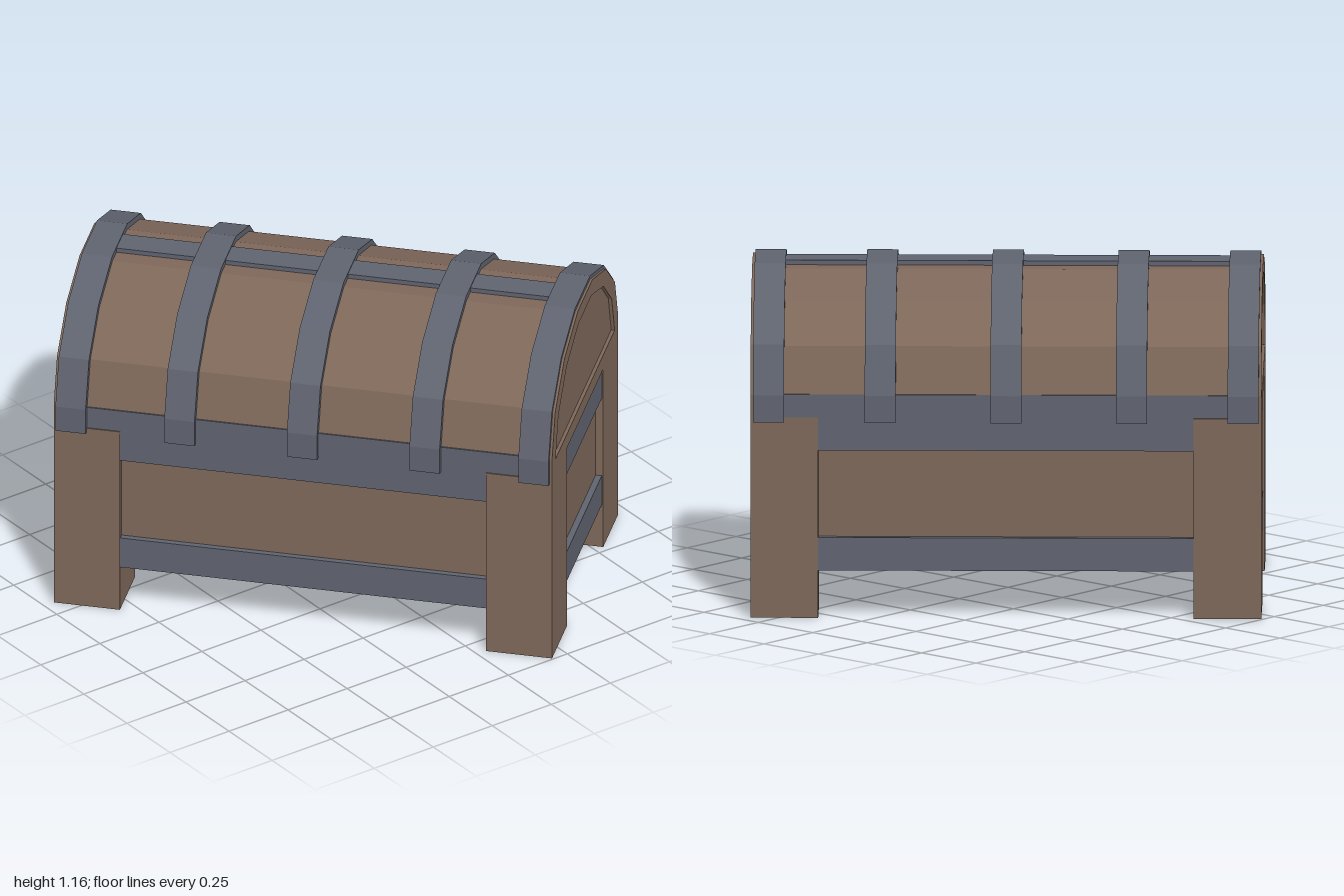
import * as THREE from 'three';

const wood = new THREE.MeshStandardMaterial({ color: 0x7d6759, flatShading: true });
const iron = new THREE.MeshStandardMaterial({ color: 0x5f636f, flatShading: true });

const SPRING = 0.78; // height where the curved lid begins

// Points of a seven-sided arch, from +z over the top to -z
function archPoints(halfWidth, rise, base = SPRING) {
  const points = [];
  for (let i = 0; i <= 7; i++) {
    const a = (Math.PI * i) / 7;
    points.push(new THREE.Vector2(halfWidth * Math.cos(a), base + rise * Math.sin(a)));
  }
  return points;
}

// Arch outline with straight sides going down to the given height
function archOutline(halfWidth, rise, bottom) {
  return [
    new THREE.Vector2(halfWidth, bottom),
    ...archPoints(halfWidth, rise),
    new THREE.Vector2(-halfWidth, bottom),
  ];
}

// Extrude a (z, y) shape along x, centred on the given x
function extrudeAlongX(shape, width, x) {
  const geometry = new THREE.ExtrudeGeometry(shape, { depth: width, bevelEnabled: false });
  geometry.translate(0, 0, -width / 2);
  geometry.rotateY(-Math.PI / 2);
  geometry.translate(x, 0, 0);
  return geometry;
}

export function createModel() {
  const model = new THREE.Group();
  model.name = 'chest';

  const add = (name, geometry, material) => {
    const mesh = new THREE.Mesh(geometry, material);
    mesh.name = name;
    model.add(mesh);
  };
  // Box centred on x and z, between two heights
  const addBox = (name, material, w, d, y0, y1, x = 0, z = 0) => {
    const geometry = new THREE.BoxGeometry(w, y1 - y0, d);
    geometry.translate(x, (y0 + y1) / 2, z);
    add(name, geometry, material);
  };

  // Body: recessed wooden panels between two iron rails
  addBox('bodyPanels', wood, 1.695, 0.97, 0.25, 0.62);
  addBox('lowerRail', iron, 1.738, 1.012, 0.165, 0.28);
  addBox('upperRail', iron, 1.738, 1.012, 0.585, 0.7);
  addBox('lidRim', iron, 1.72, 1.014, 0.69, SPRING);

  // Corner legs
  const leg = 0.232;
  for (const sx of [-1, 1]) {
    for (const sz of [-1, 1]) {
      addBox('leg', wood, leg, leg, 0, 0.7, sx * (0.874 - leg / 2), sz * (0.511 - leg / 2));
    }
  }

  // Curved wooden lid
  add('lid', extrudeAlongX(new THREE.Shape(archOutline(0.502, 0.366, 0.72)), 1.69, 0), wood);

  // End frames with a recessed arched panel
  for (const sx of [-1, 1]) {
    const frame = new THREE.Shape(archOutline(0.511, 0.374, 0.7));
    frame.holes.push(new THREE.Path(archPoints(0.455, 0.344, 0.755)));
    add('lidEndFrame', extrudeAlongX(frame, 0.04, sx * 0.854), wood);
  }
  // Wooden backing of the recessed panels, hiding the ends of the rim
  for (const sx of [-1, 1]) {
    const panel = new THREE.Shape(archPoints(0.48, 0.355, 0.74));
    add('lidEndPanel', extrudeAlongX(panel, 0.03, sx * 0.847), wood);
  }

  // Iron straps over the lid
  for (const x of [-0.812, -0.43, 0, 0.43, 0.812]) {
    const strap = new THREE.Shape([
      ...archOutline(0.525, 0.386, 0.685),
      ...archOutline(0.49, 0.35, 0.685).reverse(),
    ]);
    add('strap', extrudeAlongX(strap, 0.106, x), iron);
  }

  // Iron ridge along the top of the lid
  addBox('ridgeStrap', iron, 1.7, 0.1, 1.1, 1.153);

  // The chest stands turned on its base
  model.rotation.y = 0.717;
  const root = new THREE.Group();
  root.name = 'turnedChest';
  root.add(model);
  return root;
}
